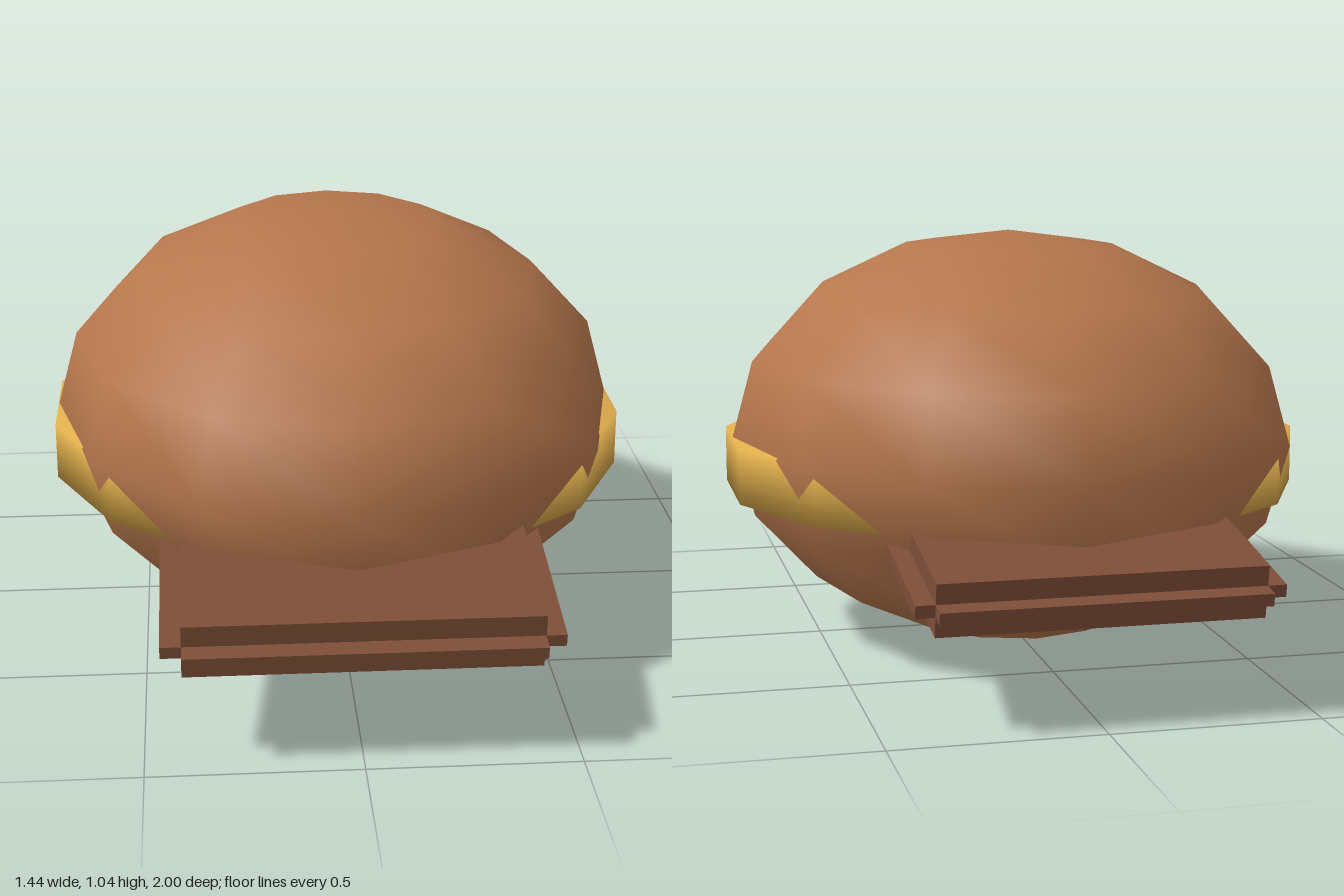
import * as THREE from 'three';
import { mergeVertices } from 'three/addons/utils/BufferGeometryUtils.js';

const mat = (name, color) => {
  const m = new THREE.MeshStandardMaterial({ color });
  m.name = name;
  return m;
};

export function createModel() {
  const toasted = mat('toastedBrown', 0xb5764c);
  const golden = mat('goldenYellow', 0xe0ae4c);
  const dark = mat('darkBrown', 0x7d4e38);
  const model = new THREE.Group();
  model.name = 'sandwich';

  const add = (parent, name, geometry, material) => {
    const mesh = new THREE.Mesh(geometry, material);
    mesh.name = name;
    parent.add(mesh);
    return mesh;
  };

  // Coarse, smooth-shaded oval bun
  const bunGeo = new THREE.SphereGeometry(1, 12, 8);
  bunGeo.scale(0.72, 0.52, 0.83);
  add(model, 'bun', bunGeo, toasted).position.set(0, 0.522, -0.02);

  // Round filling that shows through both sides of the bun, softened over its rims
  let fillGeo = new THREE.CylinderGeometry(0.738, 0.738, 0.142, 14);
  fillGeo.deleteAttribute('normal');
  fillGeo.deleteAttribute('uv');
  fillGeo = mergeVertices(fillGeo);
  fillGeo.computeVertexNormals();
  add(model, 'filling', fillGeo, golden).position.set(0, 0.458, -0.02);

  // Thick slab with thin lips along its sides and outer end, sloping down outwards
  const slab = (name, width, height, lip) => {
    const g = new THREE.Group();
    g.name = name;
    const length = 0.58, step = 0.046;
    const layer = (part, w, h, extra) => {
      const box = new THREE.BoxGeometry(w, h, length + extra);
      box.translate(0, 0, (extra - length) / 2);
      add(g, part, box, dark);
    };
    layer('slabBody', width, height, 0);
    layer('slabSideLips', width + lip * 2, 0.03, 0);
    layer('slabEndLip', width, 0.03, step);
    g.rotation.x = 0.165;
    return g;
  };

  const front = slab('frontSlab', 0.82, 0.137, 0.048);
  front.position.set(0, 0.287, 0.953);
  model.add(front);

  const backPivot = new THREE.Group();
  backPivot.name = 'backSlabPivot';
  backPivot.rotation.y = Math.PI;
  const back = slab('backSlab', 0.76, 0.127, 0.045);
  back.position.set(0, 0.292, 0.953);
  backPivot.add(back);
  model.add(backPivot);

  return model;
}
